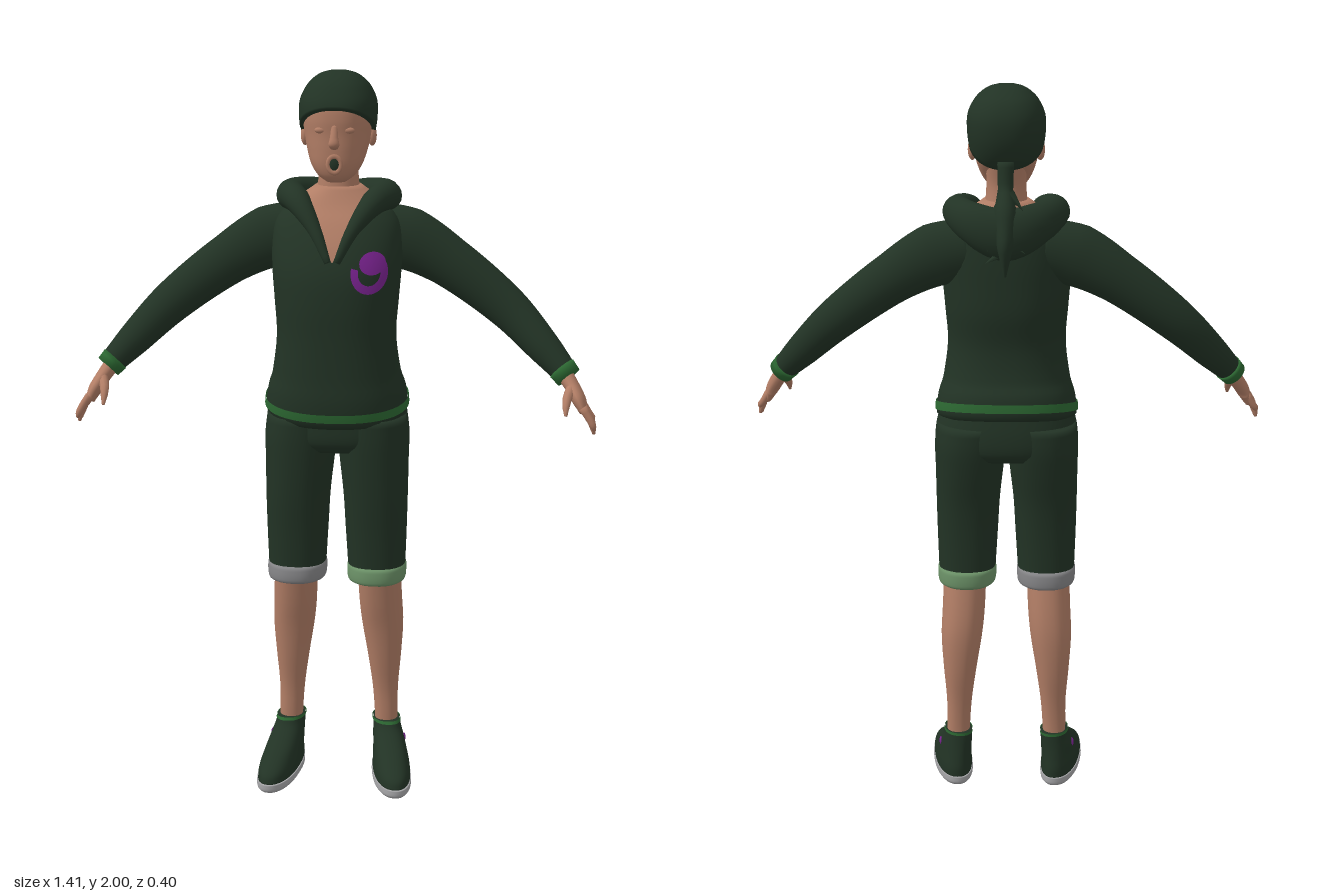
import * as THREE from 'three';

const V = (x, y, z) => new THREE.Vector3(x, y, z);
const material = (name, color) => {
  const m = new THREE.MeshStandardMaterial({ color, side: THREE.DoubleSide });
  m.name = name;
  return m;
};

// Surface through a grid of points: loops closed around j, optional end caps
function surface(grid, { closed = true, caps = true } = {}) {
  const n = grid[0].length, pos = grid.flat().flatMap(p => [p.x, p.y, p.z]), idx = [];
  for (let i = 0; i < grid.length - 1; i++)
    for (let j = 0; j < (closed ? n : n - 1); j++) {
      const a = i * n + j, b = i * n + (j + 1) % n;
      idx.push(a, a + n, b, b, a + n, b + n);
    }
  if (closed && caps) for (const i of [0, grid.length - 1]) {
    const c = grid[i].reduce((s, p) => s.add(p), V(0, 0, 0)).divideScalar(n), k = pos.length / 3;
    pos.push(c.x, c.y, c.z);
    for (let j = 0; j < n; j++) {
      const a = i * n + j, b = i * n + (j + 1) % n;
      i ? idx.push(a, k, b) : idx.push(k, a, b);
    }
  }
  const g = new THREE.BufferGeometry();
  g.setAttribute('position', new THREE.Float32BufferAttribute(pos, 3));
  g.setIndex(idx);
  g.computeVertexNormals();
  return g;
}

// Smooth interpolation of body rows [y, centreX, halfWidth, frontZ, backZ]
function rowAt(rows, y) {
  const last = rows.length - 1;
  y = THREE.MathUtils.clamp(y, rows[0][0], rows[last][0]);
  let k = 0;
  while (k < last - 1 && y > rows[k + 1][0]) k++;
  const h = rows[k + 1][0] - rows[k][0], t = (y - rows[k][0]) / h;
  const slope = (i, c) => {
    const a = rows[Math.max(i - 1, 0)], b = rows[Math.min(i + 1, last)];
    return (b[c] - a[c]) / (b[0] - a[0]);
  };
  return rows[k].map((v, c) => c === 0 ? y :
    v * (1 + 2 * t) * (1 - t) ** 2 + rows[k + 1][c] * t * t * (3 - 2 * t) +
    h * (slope(k, c) * t * (1 - t) ** 2 - slope(k + 1, c) * t * t * (1 - t)));
}
const E = 2.25; // roundness of the body sections
const power = v => Math.sign(v) * Math.abs(v) ** (2 / E);
function ringPoint(rows, y, a, off = 0) {
  const [, cx, rx, zf, zb] = rowAt(rows, y);
  return V(cx + (rx + off) * power(Math.cos(a)), y, (zf + zb) / 2 + ((zf - zb) / 2 + off) * power(Math.sin(a)));
}
function loft(rows, { y0 = rows[0][0], y1 = rows[rows.length - 1][0], off = 0, steps = 24, seg = 36, bend = p => p, caps = true } = {}) {
  const grid = [];
  for (let i = 0; i <= steps; i++)
    grid.push(Array.from({ length: seg }, (_, j) =>
      bend(ringPoint(rows, y0 + (y1 - y0) * i / steps, j / seg * Math.PI * 2, off))));
  return surface(grid, { caps });
}
// Limb along a curve with oval sections; ref sets the second radius direction
function limb(points, radii, { ref = V(0, 0, 1), steps = 20, seg = 16 } = {}) {
  const curve = new THREE.CatmullRomCurve3(points.map(p => V(...p)));
  const grid = [];
  for (let i = 0; i <= steps; i++) {
    const t = i / steps, c = curve.getPoint(t), T = curve.getTangent(t);
    const B = ref.clone().addScaledVector(T, -ref.dot(T)).normalize(), N = T.clone().cross(B);
    const f = t * (radii.length - 1), k = Math.min(Math.floor(f), radii.length - 2);
    const r = [0, 1].map(c => THREE.MathUtils.lerp(radii[k][c], radii[k + 1][c], f - k));
    grid.push(Array.from({ length: seg }, (_, j) => {
      const a = j / seg * Math.PI * 2;
      return c.clone().addScaledVector(N, Math.cos(a) * r[0]).addScaledVector(B, Math.sin(a) * r[1]);
    }));
  }
  return surface(grid);
}
function ball(x, y, z, rx, ry, rz) {
  return new THREE.SphereGeometry(1, 16, 12).scale(rx, ry, rz).translate(x, y, z);
}
function mirrored(geo) {
  const g = geo.clone().scale(-1, 1, 1), a = g.index.array;
  for (let i = 0; i < a.length; i += 3) [a[i], a[i + 1]] = [a[i + 1], a[i]];
  g.computeVertexNormals();
  return g;
}

const TORSO = [[1.088, 0, .183, .155, -.12], [1.1, 0, .194, .165, -.127], [1.16, 0, .188, .174, -.12],
  [1.2, 0, .175, .172, -.106], [1.3, 0, .162, .172, -.096], [1.4, 0, .168, .174, -.112], [1.48, 0, .174, .166, -.115],
  [1.55, 0, .175, .14, -.115], [1.61, 0, .165, .105, -.11], [1.65, 0, .13, .075, -.1], [1.7, 0, .06, .045, -.08]];
const HEAD = [[1.715, 0, .026, .075, .01], [1.73, 0, .048, .088, -.015], [1.76, 0, .068, .097, -.045],
  [1.8, 0, .081, .1, -.09], [1.84, 0, .089, .1, -.114], [1.88, 0, .094, .102, -.124], [1.92, 0, .092, .096, -.122],
  [1.955, 0, .075, .072, -.104], [1.975, 0, .055, .048, -.078], [1.987, 0, .034, .022, -.052], [1.992, 0, .014, .002, -.03]];
const NECK = [[1.58, 0, .075, .06, -.085], [1.68, 0, .058, .046, -.08], [1.74, 0, .053, .04, -.075], [1.8, 0, .055, .03, -.09]];
const PELVIS = [[.985, 0, .17, .12, -.1], [1.01, 0, .194, .14, -.118], [1.06, 0, .196, .144, -.121], [1.13, 0, .18, .14, -.11]];
const SHORTS = [[.62, .112, .079, .111, -.07], [.75, .11, .085, .12, -.075], [.85, .108, .089, .13, -.085],
  [.95, .103, .095, .138, -.106], [1.02, .1, .099, .142, -.118], [1.08, .096, .096, .142, -.118]];
const CUFF = [[.6, .112, .074, .108, -.07], [.606, .112, .081, .119, -.078], [.645, .112, .082, .119, -.078], [.652, .112, .077, .112, -.072]];
const CALF = [[.1, .139, .032, .005, -.065], [.17, .138, .033, .009, -.066], [.25, .135, .036, .013, -.072],
  [.35, .132, .047, .03, -.085], [.45, .127, .058, .048, -.09], [.52, .122, .06, .065, -.084], [.64, .117, .06, .09, -.062]];
const SOLE = [[0, .152, .05, .19, -.086], [.007, .152, .055, .197, -.092], [.026, .152, .055, .198, -.093]];
const SHOE = [[.024, .152, .053, .194, -.09], [.05, .152, .052, .182, -.09], [.08, .15, .048, .135, -.085],
  [.11, .147, .044, .075, -.08], [.135, .144, .04, .036, -.077], [.157, .142, .038, .02, -.075]];

export function createModel() {
  const dark = material('dark green cloth', 0x223325), skin = material('skin', 0xb27e66);
  const purple = material('purple print', 0x7a2390), green = material('green trim', 0x2c6832);
  const pale = material('pale green cuff', 0x6c9268), grey = material('grey cuff', 0x868688), sole = material('shoe sole', 0xa6a6a8);
  const model = new THREE.Group();
  model.name = 'person';
  const add = (name, geo, mat) => {
    const m = new THREE.Mesh(geo, mat);
    m.name = name;
    model.add(m);
  };
  const pair = (name, geo, mat, rightMat = mat) => {
    add(name + 'Left', geo, mat);
    add(name + 'Right', mirrored(geo), rightMat);
  };

  // Hooded top with its hem dropping towards the front
  const hemTilt = p => { p.y -= p.z * .18 * THREE.MathUtils.clamp((1.24 - p.y) / .1, 0, 1); return p; };
  add('torso', loft(TORSO, { y1: 1.645, steps: 40, seg: 48, bend: hemTilt }), dark);
  add('hemStripe', loft(TORSO, { y0: 1.112, y1: 1.136, off: .004, steps: 3, seg: 48, bend: hemTilt, caps: false }), green);
  add('neckBase', loft(TORSO, { y0: 1.642, y1: 1.7, steps: 6 }), skin);
  const onChest = (x, y, off) => {
    const [, , rx, zf, zb] = rowAt(TORSO, y);
    const u = Math.min(Math.abs(x) / (rx + off), 1);
    return V(x, y, (zf + zb) / 2 + ((zf - zb) / 2 + off) * (1 - u ** E) ** (1 / E));
  };
  const chest = [];
  for (let i = 0; i <= 12; i++)
    chest.push(Array.from({ length: 13 }, (_, j) => {
      const y = 1.515 + .14 * j / 12;
      return onChest((i / 6 - 1) * (y - 1.513) * .58, y, .004);
    }));
  add('openNeckline', surface(chest, { closed: false }), skin);

  // Folded hood running from the neckline round the back
  const half = [[.012, 1.515, .158], [.05, 1.595, .122], [.1, 1.66, .06], [.128, 1.668, -.03], [.085, 1.65, -.108]];
  const flip = half.map(([x, y, z]) => [-x, y, z]).reverse();
  const size = [[.008, .01], [.018, .018], [.034, .034], [.042, .042], [.043, .056]];
  add('hood', limb([...half, [0, 1.625, -.134], ...flip], [...size, [.045, .072], ...[...size].reverse()],
    { ref: V(0, 1, 0), steps: 60, seg: 20 }), dark);

  // Abstract broken ring printed on the left chest
  const print = (name, cx, cy, w, h, inner, a0, a1) => {
    const g = [];
    for (let i = 0; i <= 5; i++)
      g.push(Array.from({ length: 25 }, (_, j) => {
        const a = a0 + (a1 - a0) * j / 24, r = inner + (1 - inner) * i / 5;
        return onChest(cx + w * r * Math.cos(a), cy + h * r * Math.sin(a), .005);
      }));
    add(name, surface(g, { closed: false }), purple);
  };
  print('chestPrintRing', .097, 1.488, .048, .056, .6, 2.9, 7.6);
  print('chestPrintSpot', .105, 1.512, .034, .03, 0, 0, Math.PI * 2);

  // Head, face and neck
  add('neck', loft(NECK), skin);
  add('head', loft(HEAD, { steps: 36 }), skin);
  add('nose', limb([[0, 1.865, .096], [0, 1.835, .105], [0, 1.818, .108], [0, 1.807, .098]],
    [[.008, .006], [.011, .009], [.015, .01], [.01, .005]]), skin);
  add('lips', new THREE.TorusGeometry(.017, .006, 8, 20).scale(1, 1.25, 1).translate(0, 1.765, .097), skin);
  add('openMouth', ball(0, 1.765, .096, .015, .02, .007), dark);
  pair('eyelid', ball(.036, 1.853, .089, .017, .009, .009), skin);
  pair('ear', ball(.09, 1.83, -.018, .012, .028, .018), skin);

  // Close-fitting hair with a hairline rising to the forehead
  const hair = [];
  for (let i = 0; i <= 24; i++)
    hair.push(Array.from({ length: 40 }, (_, j) => {
      const a = j / 40 * Math.PI * 2, s = Math.sin(a), t = Math.sin(i / 24 * Math.PI / 2);
      const low = 1.845 + s * (s > 0 ? .065 : .06);
      const p = ringPoint(HEAD, low + (1.992 - low) * t, a, .01);
      p.y += .008 * t;
      return p;
    }));
  add('hair', surface(hair), dark);

  // Ponytail with pointed locks
  const tail = [[0, 1.81, -.1], [0, 1.74, -.112], [0, 1.68, -.142], [0, 1.6, -.168], [0, 1.52, -.172]];
  add('ponytail', limb(tail, [[.022, .02], [.02, .02], [.03, .035], [.022, .035], [.003, .004]]), dark);
  for (let i = 0; i < 12; i++) {
    const y = 1.71 - i * .013, side = (i % 3) - 1;
    const lock = new THREE.ConeGeometry(.014, .06, 6).rotateX(-2.3 + (i % 2) * .35).rotateY(-side * .9)
      .translate(side * .03, y, -.15 - (1.71 - y) * .12 + Math.abs(side) * .012);
    add('ponytailLock' + (i + 1), lock, dark);
  }

  // Sleeves and hands
  pair('sleeve', limb([[.09, 1.575, -.035], [.19, 1.55, -.035], [.3, 1.49, -.034], [.46, 1.37, -.018], [.56, 1.272, .025], [.622, 1.208, .058]],
    [[.078, .06], [.086, .06], [.07, .056], [.058, .052], [.046, .045], [.034, .036]], { steps: 30, seg: 24 }), dark);
  pair('wristTrim', limb([[.61, 1.22, .052], [.629, 1.199, .062]], [[.039, .04], [.036, .037]], { steps: 2, seg: 24 }), green);
  pair('palm', limb([[.612, 1.215, .054], [.64, 1.175, .078], [.658, 1.145, .1], [.672, 1.115, .11]],
    [[.022, .024], [.02, .032], [.019, .042], [.012, .038]]), skin);
  [1.088, 1.064, 1.06, 1.075].forEach((tip, k) => {
    const z = .078 + k * .022;
    pair('finger' + (k + 1), limb([[.666, 1.135, z], [.686, 1.105, z + .004], [.695, (tip + 1.1) / 2, z + .006], [.699, tip, z + .004]],
      [[.011, .011], [.01, .01], [.009, .009], [.004, .004]], { steps: 8, seg: 10 }), skin);
  });
  pair('thumb', limb([[.638, 1.18, .09], [.626, 1.16, .13], [.622, 1.14, .153], [.622, 1.118, .168]],
    [[.014, .014], [.013, .013], [.01, .01], [.004, .004]], { steps: 8, seg: 10 }), skin);

  // Shorts and legs
  add('shortsSeat', loft(PELVIS), dark);
  pair('shortsLeg', loft(SHORTS), dark);
  pair('shortsCuff', loft(CUFF, { steps: 12 }), pale, grey);
  pair('calf', loft(CALF), skin);

  // Shoes turned slightly outwards
  const toeOut = p => { p.x += p.z * .14; return p; };
  pair('shoeSole', loft(SOLE, { steps: 8, bend: toeOut }), sole);
  pair('shoeUpper', loft(SHOE, { bend: toeOut }), dark);
  pair('shoeTrim', loft(SHOE, { y0: .15, y1: .158, off: .002, steps: 2, bend: toeOut, caps: false }), green);
  pair('shoeSpot', ball(.191, .1, -.005, .005, .013, .011), purple);
  return model;
}
